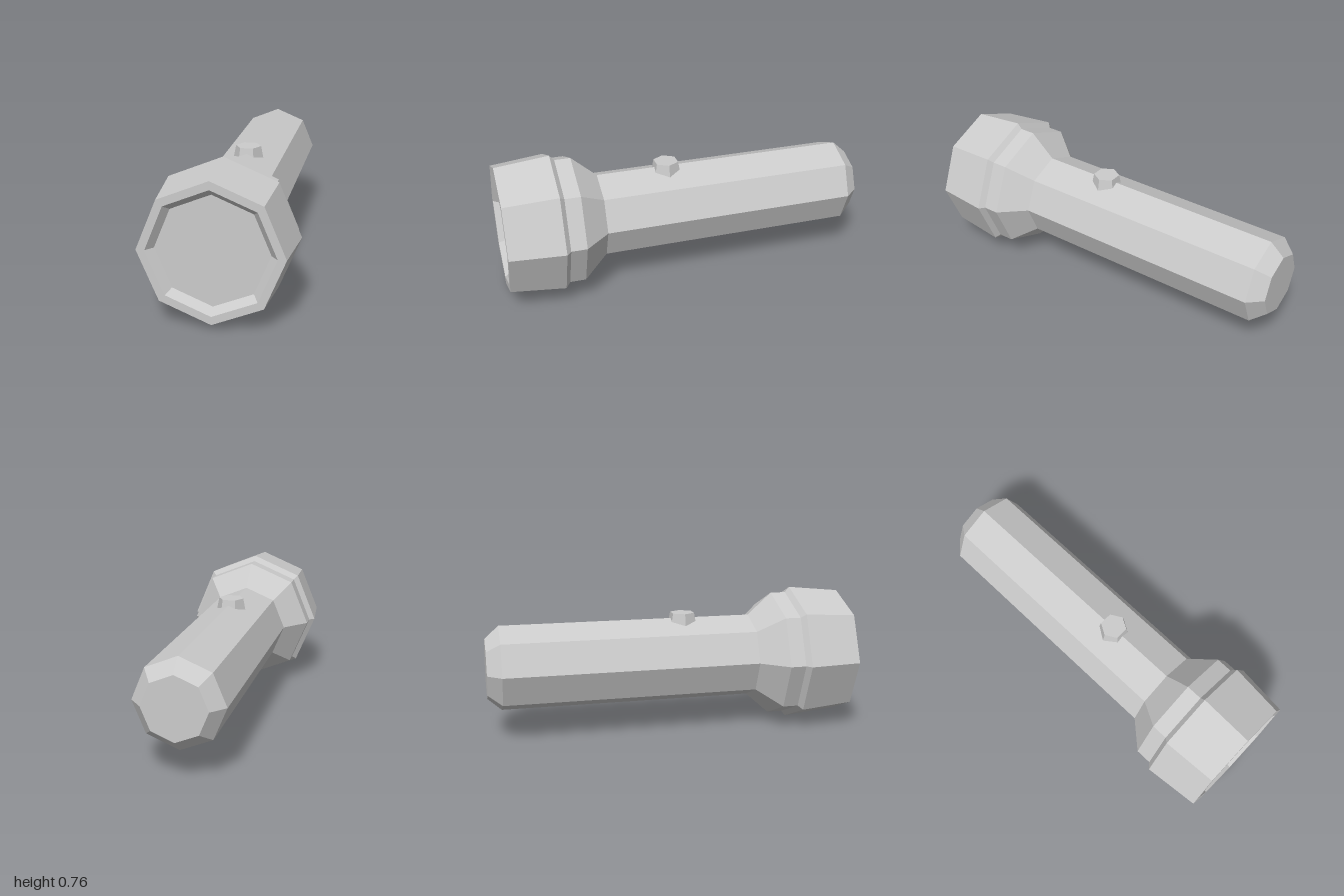
import * as THREE from 'three';

const AXIS_Y = 0.381;
const material = new THREE.MeshStandardMaterial({ color: 0xcccccc, flatShading: true });

function addPart(group, name, geometry, y, z = 0) {
  const mesh = new THREE.Mesh(geometry, material);
  mesh.name = name;
  mesh.position.set(0, y, z);
  group.add(mesh);
}

// Eight-sided turned part along z; profile is [radius, z] from back to front
function turned(profile) {
  const points = profile.map(([r, z]) => new THREE.Vector2(r, z));
  return new THREE.LatheGeometry(points, 8).rotateX(Math.PI / 2);
}

export function createModel() {
  const group = new THREE.Group();
  group.name = 'flashlight';

  // Handle with a bevelled, closed tail
  addPart(group, 'handle', turned([[0, -1], [0.165, -1], [0.232, -0.925], [0.232, 0.465]]), AXIS_Y);

  // Flared head, collar, tapering bezel and the recessed inner rim
  addPart(group, 'head', turned([
    [0.232, 0.465], [0.352, 0.6], [0.352, 0.685], [0.381, 0.71],
    [0.352, 1], [0.31, 1], [0.276, 0.96],
  ]), AXIS_Y);

  // Flat lens at the bottom of the recess
  addPart(group, 'lens', new THREE.CircleGeometry(0.276, 8), AXIS_Y, 0.96);

  // Hexagonal switch button sunk into the top ridge of the handle
  const button = new THREE.CylinderGeometry(0.069, 0.083, 0.073, 6).rotateY(Math.PI / 2);
  addPart(group, 'switchButton', button, 0.6065, 0.081);

  return group;
}
